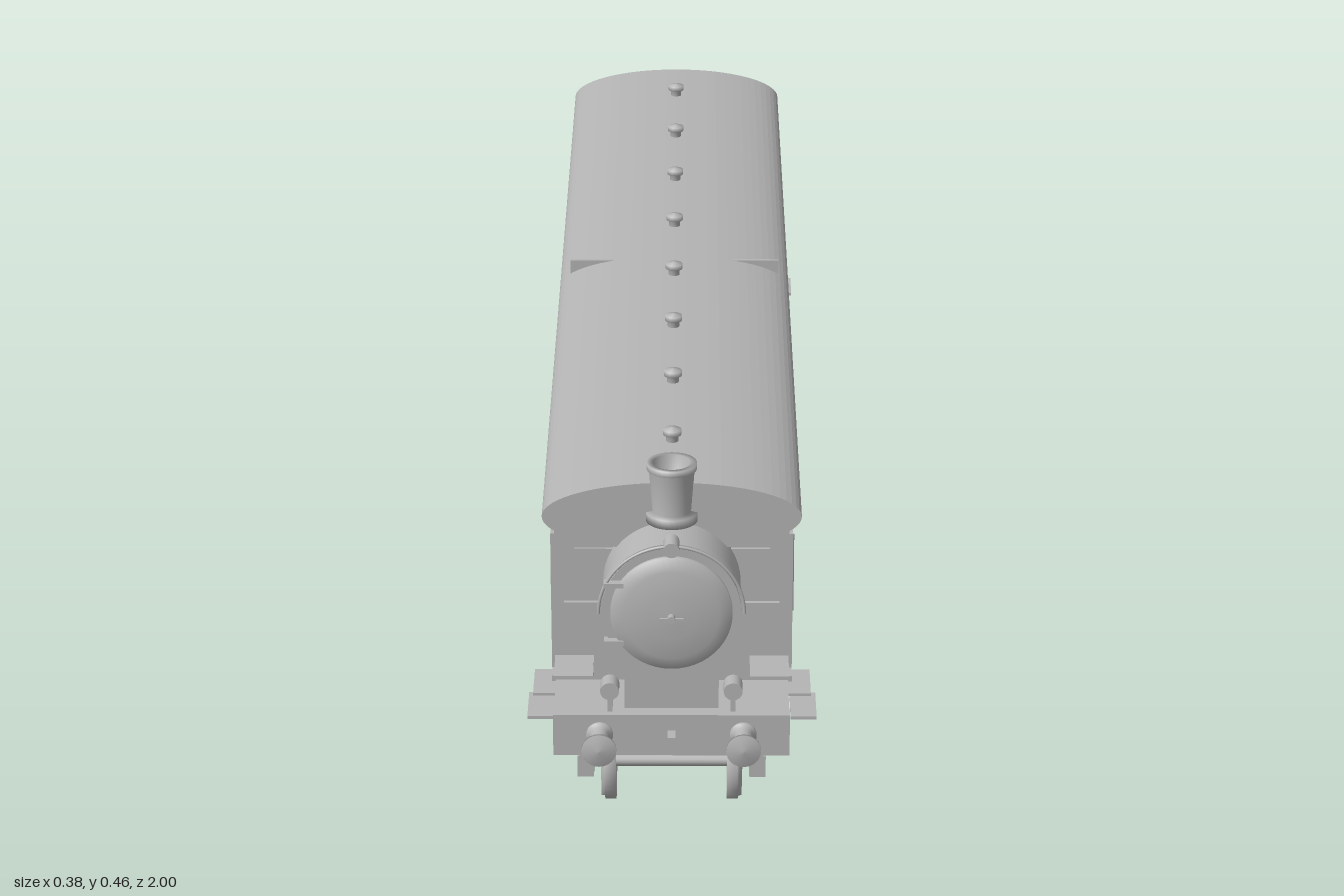
import * as THREE from 'three';

export function createModel() {
  const root = new THREE.Group();
  root.name = 'steamRailcar';
  const grey = new THREE.MeshStandardMaterial({ color: 0xb4b4b4, side: THREE.DoubleSide });
  grey.name = 'plain grey';

  const add = (name, geo, x = 0, y = 0, z = 0) => {
    const m = new THREE.Mesh(geo, grey);
    m.name = name;
    m.position.set(x, y, z);
    root.add(m);
    return m;
  };
  // box given by its limits on each axis
  const box = (name, x0, x1, y0, y1, z0, z1) =>
    add(name, new THREE.BoxGeometry(x1 - x0, y1 - y0, z1 - z0), (x0 + x1) / 2, (y0 + y1) / 2, (z0 + z1) / 2);
  // the same box on both sides
  const pair = (name, x0, x1, y0, y1, z0, z1) => {
    box(name, x0, x1, y0, y1, z0, z1);
    box(name, -x1, -x0, y0, y1, z0, z1);
  };
  // cylinder along z from z0 to z1
  const cylZ = (name, r, x, y, z0, z1, n = 32) =>
    add(name, new THREE.CylinderGeometry(r, r, z1 - z0, n).rotateX(Math.PI / 2), x, y, (z0 + z1) / 2);
  const lathe = (pts, n = 32) => new THREE.LatheGeometry(pts.map(p => new THREE.Vector2(...p)), n);
  const slab = (shape, depth, n = 24) =>
    new THREE.ExtrudeGeometry(shape, { depth, bevelEnabled: false, curveSegments: n });

  // carriage body and roof
  box('body', -0.15, 0.15, 0.15, 0.385, -0.79, 0.83);
  const oval = new THREE.Shape();
  oval.absellipse(0, 0, 0.165, 0.047, 0, Math.PI * 2);
  add('roof', slab(oval, 1.665, 32), 0, 0.39, -0.82);
  box('partition', -0.15, 0.15, 0.15, 0.43, 0.032, 0.038);
  for (let i = 0; i < 8; i++) {
    add('roofVent', lathe([[0.008, 0], [0.008, 0.012], [0.012, 0.013], [0.012, 0.02], [0, 0.023]], 16), 0, 0.433, 0.71 - i * 0.2);
  }

  // window frame with raised rim and a thin pane
  const sideWindow = (z, w, y0, y1) => {
    pair('windowPane', 0.15, 0.1515, y0, y1, z - w / 2, z + w / 2);
    pair('windowRail', 0.15, 0.154, y1, y1 + 0.005, z - w / 2, z + w / 2);
    pair('windowRail', 0.15, 0.154, y0 - 0.005, y0, z - w / 2, z + w / 2);
    for (const e of [-1, 1]) {
      const c = z + e * w / 2;
      pair('windowPost', 0.15, 0.154, y0 - 0.005, y1 + 0.005, c - 0.0025, c + 0.0025);
    }
  };
  for (const z of [0.62, 0.49, 0.36, 0.23, -0.3, -0.43, -0.56, -0.69]) sideWindow(z, 0.095, 0.235, 0.34);
  for (const z of [0.13, 0.08, -0.02, -0.07, -0.12]) sideWindow(z, 0.035, 0.27, 0.335);

  // doors, beading and grab rails
  pair('doorPanel', 0.15, 0.155, 0.165, 0.355, 0.73, 0.82);
  pair('doorPanel', 0.15, 0.155, 0.165, 0.355, -0.785, -0.76);
  pair('slidingPanel', 0.15, 0.154, 0.165, 0.255, -0.19, 0.04);
  pair('waistBeading', 0.15, 0.153, 0.213, 0.217, -0.785, 0.72);
  pair('eavesBeading', 0.15, 0.154, 0.362, 0.368, -0.785, 0.82);
  pair('sillBeading', 0.15, 0.155, 0.15, 0.158, -0.79, 0.83);
  for (const s of [-1, 1]) {
    for (const z of [0.722, 0.045, -0.2, -0.75]) {
      add('grabRail', new THREE.CylinderGeometry(0.002, 0.002, 0.11, 8), s * 0.157, 0.255, z);
    }
  }

  // front wall details
  pair('frontWindow', 0.07, 0.125, 0.27, 0.34, 0.83, 0.834);
  pair('frontPanel', 0.06, 0.138, 0.165, 0.265, 0.83, 0.836);
  pair('frontStep', 0.1, 0.15, 0.188, 0.192, 0.84, 0.9);

  // boiler, smokebox door and chimney
  cylZ('boiler', 0.088, 0, 0.295, 0.8, 0.925, 48);
  cylZ('boilerBand', 0.091, 0, 0.295, 0.905, 0.92, 48);
  add('smokeboxDoor', lathe([[0.077, 0], [0.077, 0.006], [0.06, 0.012], [0.03, 0.016], [0, 0.017]], 48).rotateX(Math.PI / 2), 0, 0.295, 0.925);
  cylZ('doorHub', 0.005, 0, 0.295, 0.93, 0.951, 12);
  box('doorHandle', -0.015, 0.015, 0.2935, 0.2965, 0.946, 0.949);
  for (const y of [0.335, 0.255]) box('doorHinge', -0.085, -0.06, y - 0.003, y + 0.003, 0.92, 0.935);
  add('boilerHandrail', new THREE.TorusGeometry(0.092, 0.002, 8, 40, Math.PI), 0, 0.295, 0.93);
  box('smokeboxSaddle', -0.06, 0.06, 0.15, 0.235, 0.83, 0.915);
  add('chimney', lathe([[0, 0], [0.033, 0], [0.033, 0.012], [0.025, 0.014], [0.029, 0.07], [0.032, 0.071],
    [0.032, 0.079], [0.024, 0.079], [0.02, 0.04], [0, 0.04]]), 0, 0.384, 0.84);
  cylZ('topLamp', 0.01, 0, 0.386, 0.91, 0.94, 16);
  for (const s of [-1, 1]) {
    cylZ('lamp', 0.012, s * 0.078, 0.195, 0.925, 0.95, 16);
    box('lampBracket', s * 0.078 - 0.003, s * 0.078 + 0.003, 0.155, 0.19, 0.932, 0.94);
  }

  // rear water tank with a gently arched top
  const tank = new THREE.Shape();
  tank.moveTo(-0.15, 0.18);
  tank.lineTo(0.15, 0.18);
  tank.lineTo(0.15, 0.355);
  tank.quadraticCurveTo(0, 0.376, -0.15, 0.355);
  add('rearTank', slab(tank, 0.165), 0, 0, -0.95);
  add('tankLid', new THREE.CylinderGeometry(0.03, 0.03, 0.014, 32), 0, 0.37, -0.87);
  for (let i = 0; i < 6; i++) box('ladderRung', -0.04, 0.04, 0.198 + i * 0.028, 0.202 + i * 0.028, -0.957, -0.95);
  pair('ladderRail', 0.04, 0.044, 0.185, 0.355, -0.957, -0.95);

  // underframe, beams, buffers and steps
  box('footplate', -0.15, 0.15, 0.14, 0.152, -0.94, 0.94);
  box('tankSupport', -0.12, 0.12, 0.15, 0.185, -0.93, -0.78);
  pair('solebar', 0.1, 0.115, 0.11, 0.142, -0.935, 0.935);
  box('centreSill', -0.03, 0.03, 0.095, 0.142, -0.9, 0.9);
  for (const e of [-1, 1]) {
    box('bufferBeam', -0.15, 0.15, 0.105, 0.162, e * 0.94 - 0.01, e * 0.94 + 0.01);
    for (const s of [-1, 1]) {
      const b = add('buffer', lathe([[0.017, 0], [0.017, 0.005], [0.012, 0.007], [0.01, 0.04], [0.022, 0.043], [0.022, 0.047], [0, 0.05]], 24),
        s * 0.091, 0.135, e * 0.95);
      b.rotation.x = e * Math.PI / 2;
    }
    box('couplingHook', -0.005, 0.005, 0.13, 0.14, e * 0.958 - 0.012, e * 0.958 + 0.012);
    const z = e * 0.762;
    pair('upperStep', 0.14, 0.181, 0.112, 0.116, z - 0.035, z + 0.035);
    pair('lowerStep', 0.155, 0.189, 0.078, 0.082, z - 0.035, z + 0.035);
  }

  // wheelsets: position, radius and sideways offset
  const wheelGeo = r => lathe([[0, -0.006], [0.012, -0.006], [0.014, -0.003], [r * 0.78, -0.003], [r * 0.8, -0.009], [r, -0.009],
    [r, 0.005], [r * 0.92, 0.006], [r * 0.91, 0.01], [r * 0.78, 0.01], [r * 0.76, 0.003], [0.014, 0.003], [0.012, 0.011], [0, 0.011]], 32)
    .rotateZ(-Math.PI / 2);
  const axles = [[0.88, 0.05, 0], [0.775, 0.05, 0], [0.715, 0.05, 1], [0.52, 0.056, 0], [0.45, 0.05, 1], [0.33, 0.058, 0],
    [0.235, 0.05, 1], [-0.14, 0.05, 1], [-0.32, 0.05, 0], [-0.43, 0.05, 0], [-0.475, 0.05, 1], [-0.74, 0.05, 0], [-0.88, 0.05, 0]];
  for (const [z, r, outer] of axles) {
    const y = 0.012 + r;
    for (const s of [-1, 1]) {
      const w = add('wheel', wheelGeo(r), s * (outer ? 0.1 : 0.08), y, z);
      if (s < 0) w.rotation.y = Math.PI;
    }
    add('axle', new THREE.CylinderGeometry(0.008, 0.008, 0.2, 12).rotateZ(Math.PI / 2), 0, y, z);
    pair('axleBox', 0.1, 0.121, 0.045, 0.075, z - 0.015, z + 0.015);
  }

  // bogie frames and coupling rods
  for (const [z0, z1] of [[0.68, 0.91], [0.2, 0.57], [-0.51, -0.29], [-0.91, -0.71]]) {
    pair('bogieFrame', 0.112, 0.118, 0.076, 0.098, z0, z1);
    const c = (z0 + z1) / 2;
    box('bolster', -0.115, 0.115, 0.07, 0.1, c - 0.02, c + 0.02);
  }
  pair('couplingRod', 0.112, 0.117, 0.057, 0.067, 0.23, 0.53);

  // equipment boxes and hopper between the bogies
  pair('equipmentBox', 0.07, 0.112, 0.015, 0.11, -0.07, 0.1);
  const hopper = new THREE.Shape([[-0.07, 0.11], [-0.05, 0.012], [0.05, 0.012], [0.07, 0.11]].map(p => new THREE.Vector2(...p)));
  add('hopper', slab(hopper, 0.19), 0, 0, -0.08);
  add('drainPipe', new THREE.CylinderGeometry(0.002, 0.002, 0.02, 8), 0, 0.01, 0.01);
  return root;
}
